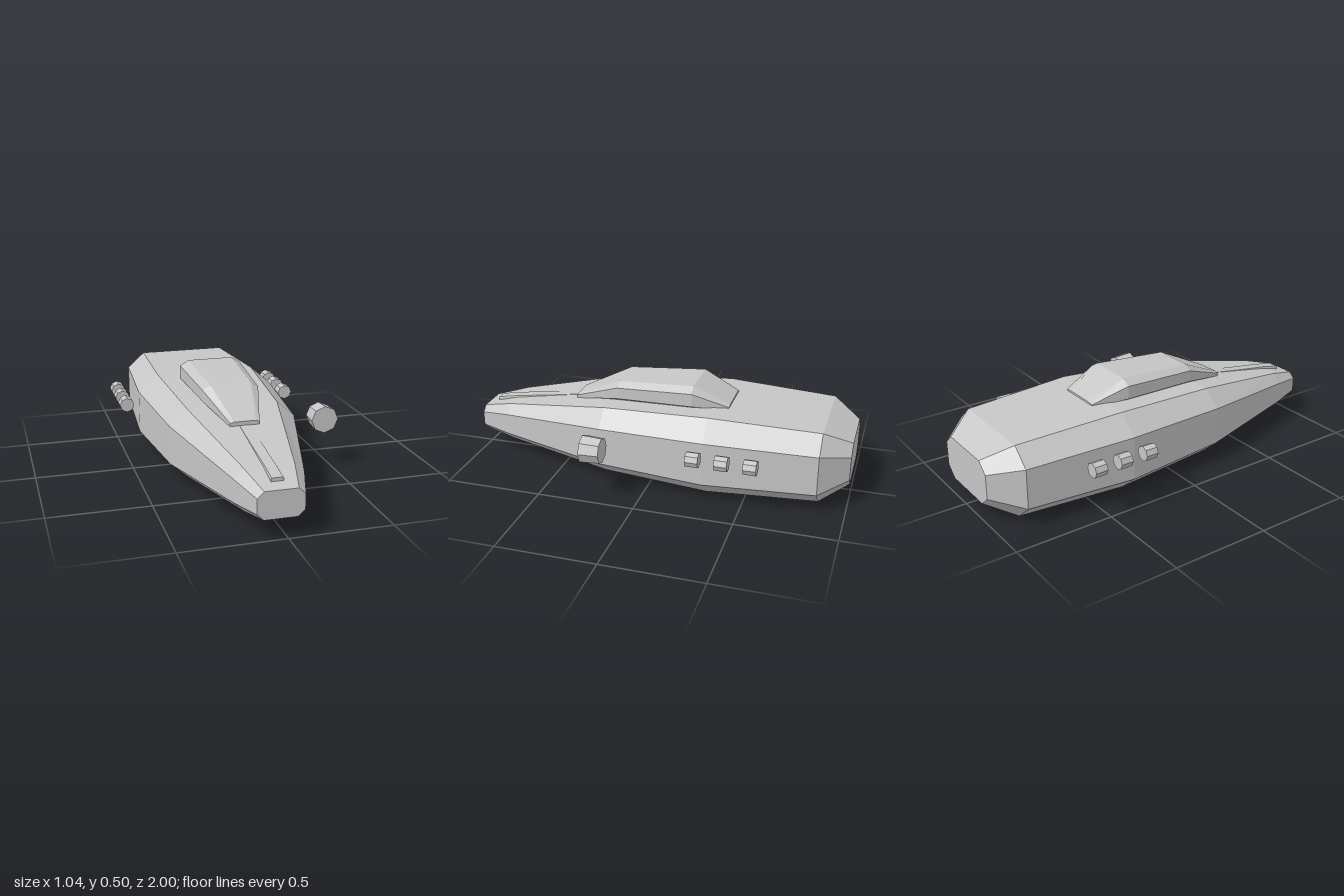
import * as THREE from 'three';

const CX = -0.036; // centre line of the hull

// Chamfered eight-sided cross-section, counter-clockwise seen from the front.
function section([z, half, bottom, top], flat) {
  const h = top - bottom, f = half * flat;
  const lo = bottom + h * 0.225, hi = bottom + h * 0.775;
  return [
    [f, bottom], [half, lo], [half, hi], [f, top],
    [-f, top], [-half, hi], [-half, lo], [-f, bottom],
  ].map(([x, y]) => new THREE.Vector3(CX + x, y, z));
}

// Faceted loft through stations listed from front to back, closed at both ends.
function loft(stations, flat) {
  const rings = stations.map((s) => section(s, flat));
  const points = [];
  const n = 8;
  for (let r = 0; r < rings.length - 1; r++) {
    const a = rings[r], b = rings[r + 1];
    for (let i = 0; i < n; i++) {
      const j = (i + 1) % n;
      points.push(a[i], b[i], b[j], a[i], b[j], a[j]);
    }
  }
  const front = rings[0], back = rings[rings.length - 1];
  for (let i = 1; i < n - 1; i++) {
    points.push(front[0], front[i], front[i + 1]);
    points.push(back[0], back[i + 1], back[i]);
  }
  const geometry = new THREE.BufferGeometry().setFromPoints(points);
  geometry.computeVertexNormals();
  return geometry;
}

// Eight-sided drum lying along z.
function drum(frontRadius, backRadius, length) {
  const geometry = new THREE.CylinderGeometry(frontRadius, backRadius, length, 8).toNonIndexed();
  geometry.rotateX(Math.PI / 2);
  geometry.computeVertexNormals();
  return geometry;
}

export function createModel() {
  const model = new THREE.Group();
  model.name = 'spacecraft';
  const grey = new THREE.MeshStandardMaterial({ color: 0xc6c6c6 });
  grey.name = 'light grey';

  function add(name, geometry, x = 0, y = 0, z = 0) {
    const mesh = new THREE.Mesh(geometry, grey);
    mesh.name = name;
    mesh.position.set(x, y, z);
    model.add(mesh);
  }

  // Stations: z, half width, bottom, top
  add('hull', loft([
    [1, 0.11, 0.1, 0.233],
    [0.83, 0.165, 0.075, 0.278],
    [0.25, 0.322, 0.022, 0.378],
    [-0.3, 0.37, 0, 0.408],
    [-0.86, 0.329, 0.018, 0.388],
    [-1, 0.203, 0.09, 0.315],
  ], 0.715));

  add('canopy', loft([
    [0.457, 0.073, 0.335, 0.363],
    [0.21, 0.143, 0.372, 0.479],
    [-0.19, 0.164, 0.383, 0.505],
    [-0.373, 0.115, 0.389, 0.415],
  ], 0.73));

  // Low ridge running along the nose
  add('noseRidge', loft([
    [0.94, 0.029, 0.245, 0.266],
    [0.83, 0.029, 0.25, 0.287],
    [0.64, 0.029, 0.28, 0.314],
    [0.44, 0.029, 0.31, 0.346],
  ], 0.9));

  // Rows of three small pods beside the hull
  const pod = drum(0.038, 0.038, 0.064);
  for (const [side, x] of [['left', 0.409], ['right', -0.481]]) {
    [-0.274, -0.416, -0.556].forEach((z, i) => add(`${side}Pod${i + 1}`, pod, x, 0.266, z));
  }

  // Single larger pod on the left
  add('largePod', drum(0.071, 0.065, 0.1), 0.447, 0.266, 0.222);

  return model;
}
